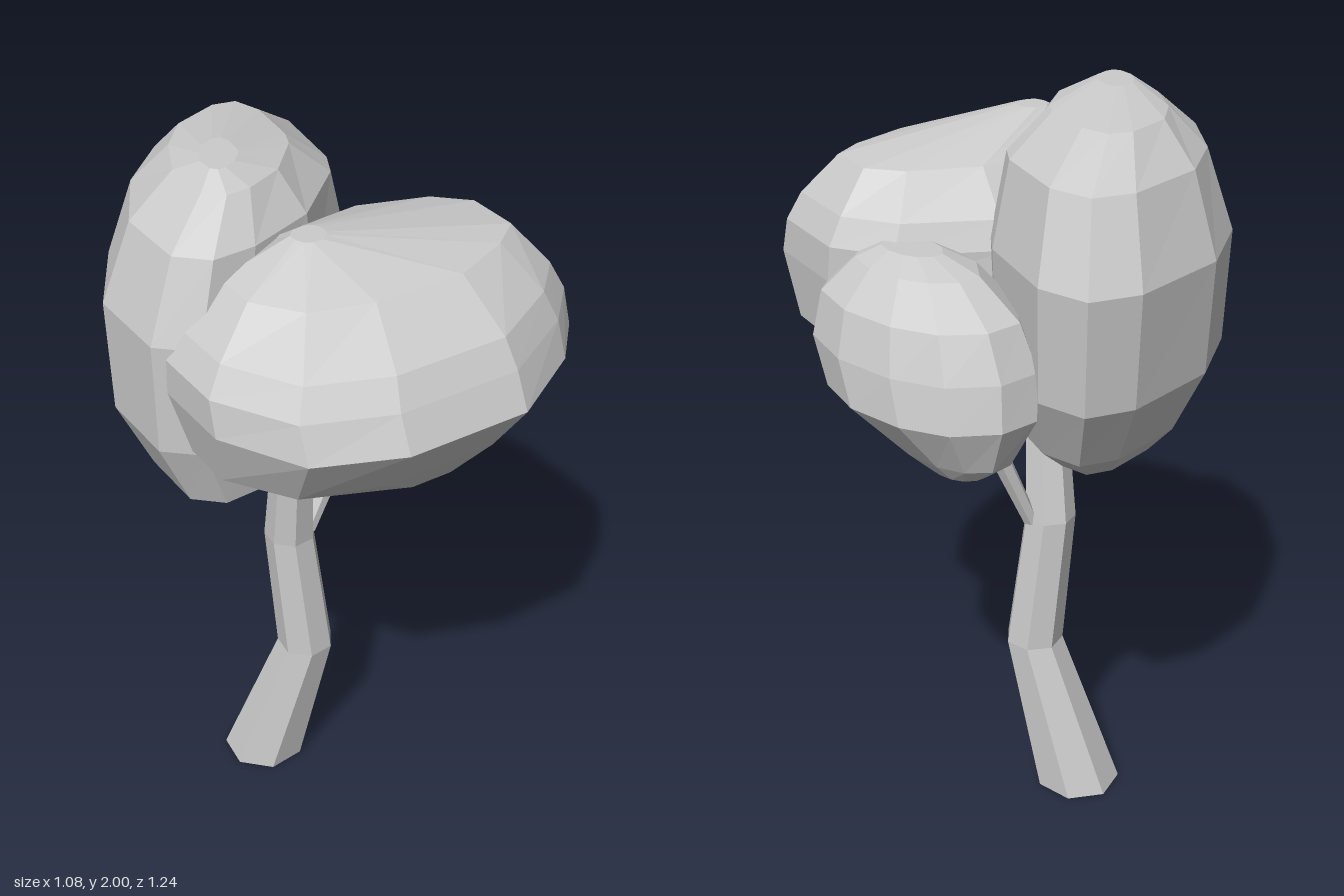
import * as THREE from 'three';

const material = new THREE.MeshStandardMaterial({
  color: 0xcccccc, flatShading: true, roughness: 1, side: THREE.DoubleSide,
});

// Regular outline of n sides inside the unit box
const polygon = (n, turn = 0) => Array.from({ length: n }, (_, i) => {
  const a = turn + (i / n) * Math.PI * 2;
  return [Math.cos(a), Math.sin(a)];
});

// Loft an x/z outline through levels [y, xMin, xMax, zMin, zMax], with optional end caps
function loft(name, outline, levels, capped) {
  const n = outline.length;
  const positions = [];
  const index = [];
  for (const [y, x0, x1, z0, z1] of levels) {
    for (const [u, v] of outline) {
      positions.push((x0 + x1) / 2 + (u * (x1 - x0)) / 2, y, (z0 + z1) / 2 + (v * (z1 - z0)) / 2);
    }
  }
  const last = (levels.length - 1) * n;
  const bottom = positions.length / 3;
  for (const [y, x0, x1, z0, z1] of [levels[0], levels[levels.length - 1]]) {
    positions.push((x0 + x1) / 2, y, (z0 + z1) / 2);
  }
  for (let j = 0; j < n; j++) {
    const k = (j + 1) % n;
    for (let r = 0; r < last; r += n) {
      index.push(r + j, r + n + j, r + k, r + k, r + n + j, r + n + k);
    }
    if (capped) index.push(bottom, j, k, bottom + 1, last + k, last + j);
  }
  const geometry = new THREE.BufferGeometry();
  geometry.setAttribute('position', new THREE.Float32BufferAttribute(positions, 3));
  geometry.setIndex(index);
  const flat = geometry.toNonIndexed();
  flat.computeVertexNormals();
  const mesh = new THREE.Mesh(flat, material);
  mesh.name = name;
  return mesh;
}

// Levels of a stem from points [x, y, z, radius]
const stem = (points) => points.map(([x, y, z, r]) => [y, x - r, x + r, z - r, z + r]);

export function createModel() {
  const tree = new THREE.Group();
  tree.name = 'tree';

  // Bent trunk, flared at the foot and open at both ends
  tree.add(loft('trunk', polygon(7, -Math.PI / 4), stem([
    [-0.14, 0, -0.16, 0.119],
    [-0.052, 0.45, -0.058, 0.08],
    [-0.085, 0.84, -0.08, 0.07],
    [-0.095, 1.12, -0.04, 0.058],
    [-0.1, 1.2, -0.04, 0.045],
  ]), false));

  // Thin side branch
  tree.add(loft('branch', polygon(6), stem([
    [-0.03, 0.83, -0.075, 0.022],
    [0.08, 1.08, -0.07, 0.03],
    [0.22, 1.21, -0.06, 0.03],
    [0.3, 1.32, -0.1, 0.025],
  ]), false));

  // Front crown
  const frontOutline = [
    [1, -0.35], [1, 0.35], [0.77, 0.66], [0.32, 1], [-0.34, 1], [-0.77, 0.78],
    [-1, 0.25], [-1, -0.35], [-0.55, -0.85], [0.28, -1], [0.78, -0.72],
  ];
  tree.add(loft('frontCrown', frontOutline, [
    [1.17, 0.04, 0.16, 0.13, 0.25],
    [1.21, -0.1, 0.25, 0.05, 0.34],
    [1.39, -0.48, 0.44, -0.1, 0.5],
    [1.55, -0.52, 0.45, -0.15, 0.62],
    [1.64, -0.52, 0.445, -0.145, 0.58],
    [1.71, -0.48, 0.41, -0.12, 0.54],
    [1.81, -0.38, 0.33, -0.01, 0.4],
    [1.89, -0.22, -0.14, 0.14, 0.22],
  ], true));

  // Tall back crown, set diagonally and reaching over the trunk
  const backOutline = [
    [0.52, -1], [0.87, -0.95], [1, -0.62], [0.88, 0.08], [0.76, 0.3], [0.2, 0.77], [-0.4, 0.98],
    [-0.77, 1], [-1, 0.8], [-1, 0.2], [-0.66, -0.36], [-0.2, -0.77],
  ];
  tree.add(loft('backCrown', backOutline, [
    [1.07, -0.26, -0.12, -0.27, -0.15],
    [1.12, -0.36, 0.03, -0.4, 0.03],
    [1.2, -0.46, 0.12, -0.49, 0.135],
    [1.38, -0.54, 0.185, -0.595, 0.16],
    [1.67, -0.545, 0.2, -0.62, 0.17],
    [1.87, -0.47, 0.13, -0.53, 0.14],
    [1.965, -0.35, -0.01, -0.4, 0.05],
    [2, -0.31, -0.2, -0.16, -0.01],
  ], true));

  // Small side crown
  const sideOutline = [
    [0.98, 0.1], [0.93, 0.65], [0.55, 0.98], [-0.05, 1], [-0.6, 0.75], [-0.97, 0.2],
    [-1, -0.4], [-0.65, -0.93], [-0.15, -1], [0.38, -0.82], [0.75, -0.45],
  ];
  tree.add(loft('sideCrown', sideOutline, [
    [1.18, 0.26, 0.37, -0.38, -0.25],
    [1.22, 0.2, 0.42, -0.43, -0.1],
    [1.34, 0.12, 0.535, -0.48, 0.07],
    [1.45, 0.1, 0.54, -0.46, 0.14],
    [1.56, 0.13, 0.51, -0.41, 0.13],
    [1.64, 0.19, 0.43, -0.28, 0.06],
    [1.67, 0.25, 0.37, -0.17, 0],
  ], true));

  return tree;
}
